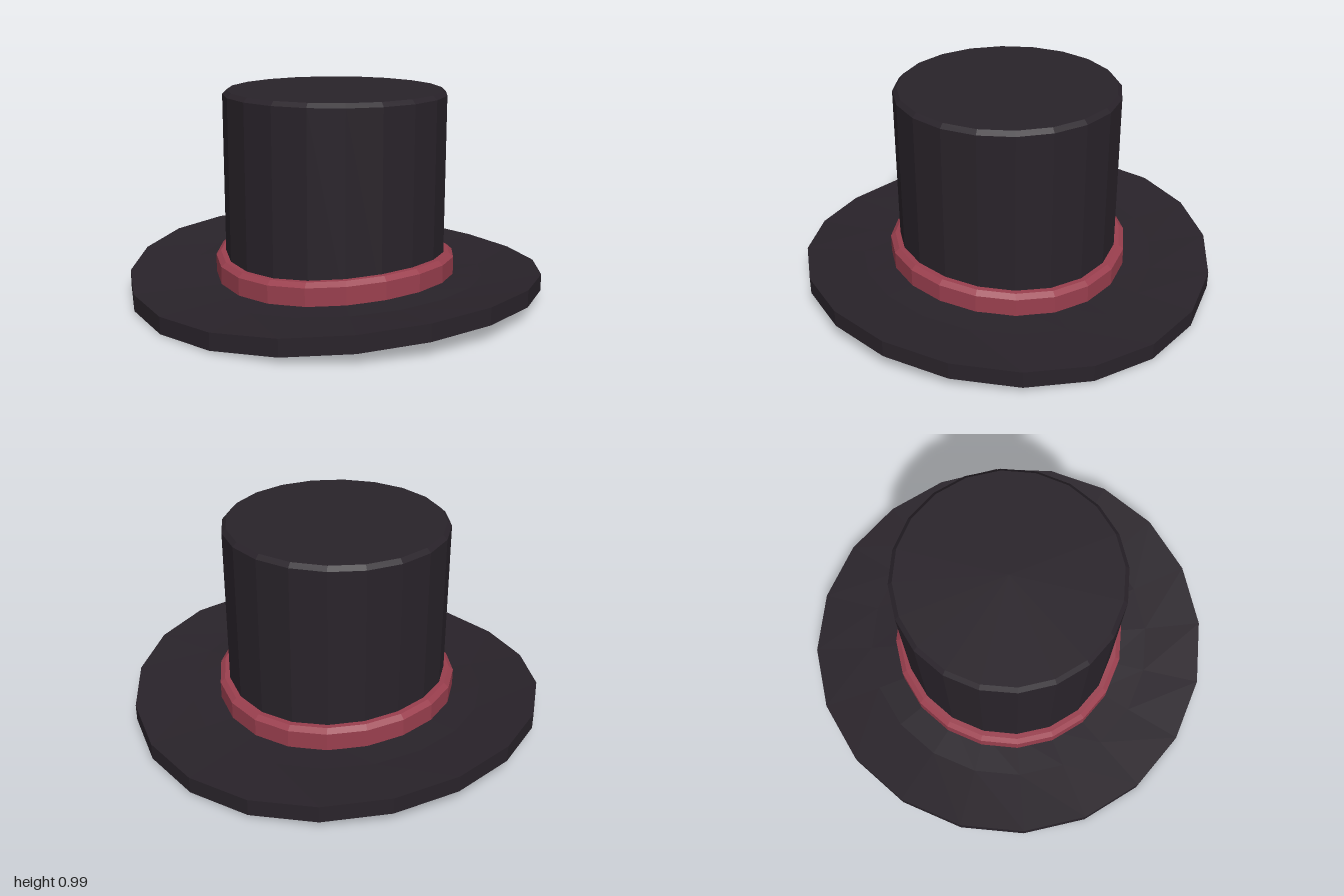
import * as THREE from 'three';

const SIDES = 20;

// Rise of the brim towards front and back: level near the crown, steeper outside
function rise(r) {
  return r < 0.72 ? 0.038 : 0.038 + (0.042 * (r - 0.72)) / 0.28;
}

// Lathed part whose low rings follow the saddle bend of the brim
function turned(name, profile, material) {
  const geometry = new THREE.LatheGeometry(profile.map(([r, y]) => new THREE.Vector2(r, y)), SIDES);
  const p = geometry.attributes.position;
  for (let i = 0; i < p.count; i++) {
    const r = Math.hypot(p.getX(i), p.getZ(i));
    if (r > 0.01 && p.getY(i) < 0.3) {
      p.setY(i, p.getY(i) + rise(r) * (p.getZ(i) / r) ** 2);
    }
  }
  geometry.computeVertexNormals();
  const mesh = new THREE.Mesh(geometry, material);
  mesh.name = name;
  return mesh;
}

export function createModel() {
  const felt = new THREE.MeshStandardMaterial({ color: 0x29232a, flatShading: true });
  const ribbon = new THREE.MeshStandardMaterial({ color: 0x9a3f4e, flatShading: true });
  const hat = new THREE.Group();
  hat.name = 'topHat';

  // Crown with a bevelled top edge
  hat.add(turned('crown', [[0.535, 0.06], [0.535, 0.965], [0.515, 0.985], [0, 0.985]], felt));

  // Hollow inside of the crown, flaring into the opening
  hat.add(turned('lining', [[0, 0.93], [0.51, 0.93], [0.52, 0.04], [0.56, 0]], felt));

  // Saddle-shaped brim
  hat.add(turned('brim', [[0.56, 0], [0.72, 0], [1, 0], [1, 0.08], [0.72, 0.08], [0.53, 0.08]], felt));

  // Ribbon around the foot of the crown
  hat.add(turned('band', [[0.583, 0.06], [0.583, 0.165], [0.56, 0.185], [0.53, 0.185]], ribbon));

  return hat;
}
